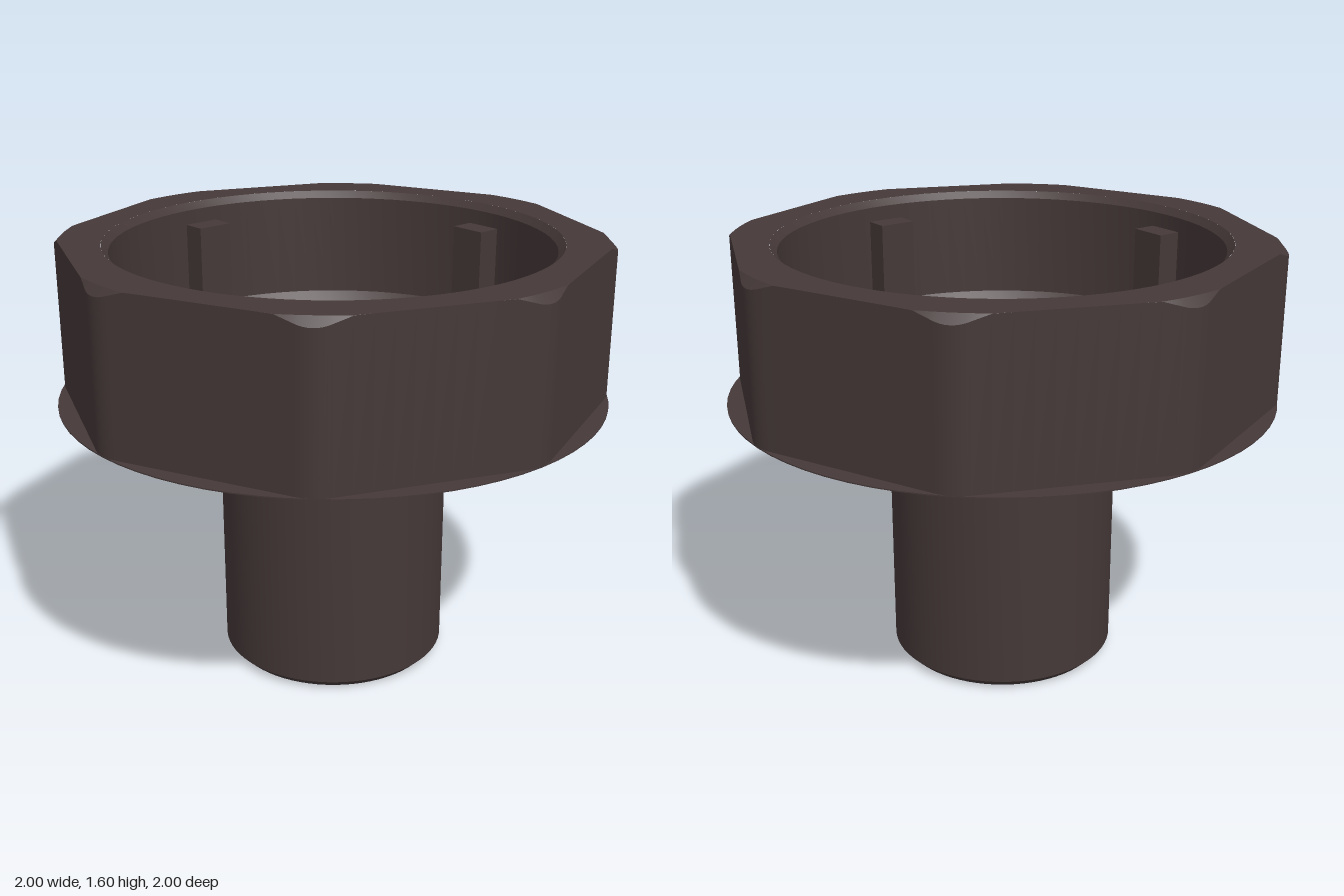
import * as THREE from 'three';
import { toCreasedNormals } from 'three/addons/utils/BufferGeometryUtils.js';

const TOP = 1.6, BASE = 1.03, FLOOR = 1.15;

// Surface of revolution with sharp profile corners
function turned(points) {
  const profile = points.map(([r, y]) => new THREE.Vector2(r, y));
  return toCreasedNormals(new THREE.LatheGeometry(profile, 72), 0.4);
}

// Octagon outline with filleted corners, as [x, z] pairs
function octagonOutline(apothem, fillet) {
  const half = Math.PI / 8, arcSteps = 8, flatSteps = 10;
  const centre = (apothem - fillet) / Math.cos(half);
  const arcs = [];
  for (let k = 0; k < 8; k++) {
    const a = k * 2 * half, arc = [];
    for (let i = 0; i <= arcSteps; i++) {
      const t = a - half + (2 * half * i) / arcSteps;
      arc.push([centre * Math.sin(a) + fillet * Math.sin(t), centre * Math.cos(a) + fillet * Math.cos(t)]);
    }
    arcs.push(arc);
  }
  const outline = [];
  arcs.forEach((arc, k) => {
    outline.push(...arc);
    const p = arc[arcSteps], q = arcs[(k + 1) % 8][0];
    for (let i = 1; i < flatSteps; i++) {
      const t = i / flatSteps;
      outline.push([p[0] + (q[0] - p[0]) * t, p[1] + (q[1] - p[1]) * t]);
    }
  });
  return outline;
}

// Octagonal wall, conical corner chamfer and flat rim
function headGeometry() {
  const chamferRadius = 0.97, rimInner = 0.815;
  const columns = octagonOutline(0.935, 0.15).map(([x, z]) => {
    const r = Math.hypot(x, z), rTop = Math.min(r, chamferRadius);
    const at = (radius, y) => new THREE.Vector3((x / r) * radius, y, (z / r) * radius);
    return [at(r, BASE), at(r, TOP - (r - rTop)), at(rTop, TOP), at(rimInner, TOP)];
  });
  const positions = [];
  const triangle = (a, b, c) => {
    const area = b.clone().sub(a).cross(c.clone().sub(a)).length();
    if (area > 1e-9) positions.push(...a, ...b, ...c);
  };
  columns.forEach((col, i) => {
    const next = columns[(i + 1) % columns.length];
    for (let j = 0; j < 3; j++) {
      triangle(col[j], next[j], next[j + 1]);
      triangle(col[j], next[j + 1], col[j + 1]);
    }
  });
  const geometry = new THREE.BufferGeometry();
  geometry.setAttribute('position', new THREE.Float32BufferAttribute(positions, 3));
  return toCreasedNormals(geometry, 0.4);
}

export function createModel() {
  const model = new THREE.Group();
  const plastic = new THREE.MeshStandardMaterial({ color: 0x453838 });
  plastic.name = 'dark brown plastic';

  const add = (name, geometry) => {
    const mesh = new THREE.Mesh(geometry, plastic);
    mesh.name = name;
    model.add(mesh);
    return mesh;
  };

  // Round stem with a chamfered foot and a flared neck
  add('stem', turned([[0, 0], [0.39, 0], [0.42, 0.03], [0.42, 0.97], [0.48, BASE]]));

  // Thin round flange under the head
  add('flange', turned([[0.48, BASE], [1, BASE], [1, BASE + 0.004], [0.9, BASE + 0.004]]));

  add('octagonalHead', headGeometry());

  // Round recess, chamfered at rim and floor
  add('recess', turned([[0.815, TOP], [0.79, 1.575], [0.79, 1.185], [0.755, FLOOR], [0, FLOOR]]));

  // Four upright tabs against the recess wall
  const tabHeight = 0.37;
  for (let k = 0; k < 4; k++) {
    const a = (k * Math.PI) / 2;
    const tab = add('recessTab', new THREE.BoxGeometry(0.144, tabHeight, 0.092));
    tab.position.set(0.742 * Math.sin(a), FLOOR + tabHeight / 2, 0.742 * Math.cos(a));
    tab.rotation.y = a;
  }

  return model;
}
